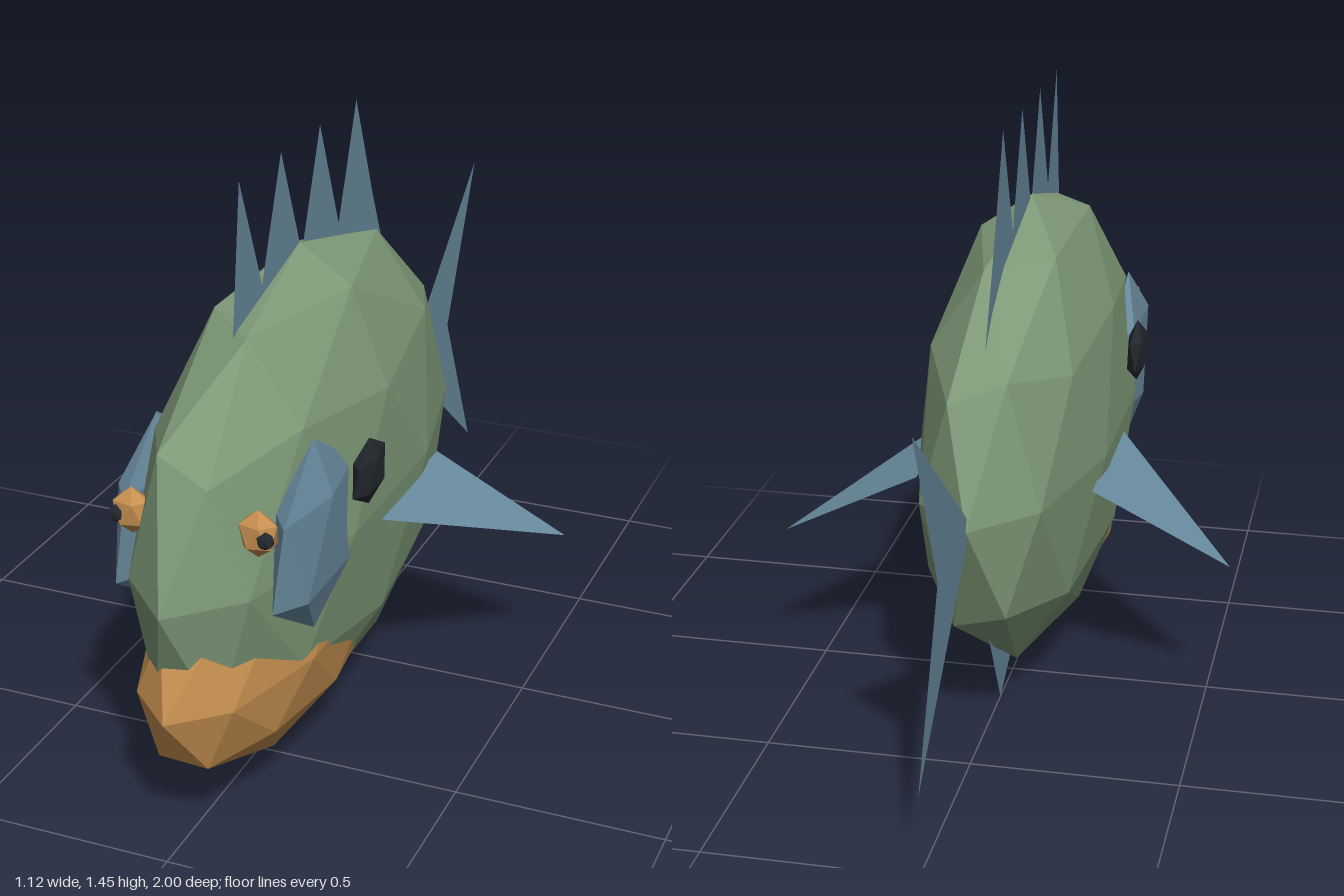
import * as THREE from 'three';

const mat = (name, color, side = THREE.FrontSide) => {
  const m = new THREE.MeshStandardMaterial({ color, flatShading: true, side });
  m.name = name;
  return m;
};

export function createModel() {
  const fish = new THREE.Group();
  fish.name = 'fish';

  const green = mat('scaleGreen', 0x7f9a78);
  const orange = mat('jawOrange', 0xc58f50);
  const blue = mat('finBlue', 0x6a8ca0, THREE.DoubleSide);
  const black = mat('darkSpot', 0x23272d);

  // Faceted ellipsoid with a corner pointing up and another pointing to +x
  const blob = (name, material, detail, radii, centre) => {
    const g = new THREE.IcosahedronGeometry(1, detail);
    g.rotateX(-Math.atan((1 + Math.sqrt(5)) / 2)).rotateY(Math.PI / 2);
    g.scale(...radii).translate(...centre);
    g.computeVertexNormals();
    const mesh = new THREE.Mesh(g, material);
    mesh.name = name;
    fish.add(mesh);
  };

  // Flat fin on the centre plane, outlined by [z, y] points
  const fin = (name, outline) => {
    const shape = new THREE.Shape(outline.map(([z, y]) => new THREE.Vector2(z, y)));
    const g = new THREE.ShapeGeometry(shape).rotateY(-Math.PI / 2);
    const mesh = new THREE.Mesh(g, blue);
    mesh.name = name;
    fish.add(mesh);
  };

  // Body and lower jaw
  blob('body', green, 1, [0.247, 0.59, 0.765], [0, 0.61, 0.235]);
  blob('lowerJaw', orange, 1, [0.2, 0.305, 0.567], [0, 0.348, 0.43]);

  // Dorsal fin with four spikes
  const dorsal = [[0.605, 1.08]];
  for (let i = 0; i < 4; i++) {
    const z = 0.557 - i * 0.223;
    dorsal.push([z, 1.445], [z - 0.112, 1.17]);
  }
  dorsal.push([-0.33, 0.94], [0.235, 1.0]);
  fin('dorsalFin', dorsal);

  // Tail and belly fins
  fin('tailFin', [[-0.477, 0.61], [-1, 1.025], [-0.8, 0.61], [-1, 0.195]]);
  fin('bellyFin', [[0.01, 0.08], [-0.155, 0], [-0.285, 0.22], [-0.1, 0.25]]);

  // Paired parts
  for (const [side, s] of [['left', 1], ['right', -1]]) {
    blob(side + 'GillCover', blue, 0, [0.052, 0.235, 0.233], [s * 0.19, 0.663, 0.606]);
    blob(side + 'CheekSpot', black, 0, [0.025, 0.082, 0.096], [s * 0.245, 0.745, 0.415]);
    blob(side + 'Eye', orange, 0, [0.05, 0.056, 0.037], [s * 0.15, 0.757, 0.815]);
    blob(side + 'Pupil', black, 0, [0.021, 0.021, 0.021], [s * 0.177, 0.755, 0.838]);

    const g = new THREE.BufferGeometry().setFromPoints([
      new THREE.Vector3(s * 0.22, 0.568, 0.31),
      new THREE.Vector3(s * 0.56, 0.39, -0.113),
      new THREE.Vector3(s * 0.22, 0.56, -0.113),
    ]);
    g.setIndex(s > 0 ? [0, 1, 2] : [0, 2, 1]);
    g.computeVertexNormals();
    const pectoral = new THREE.Mesh(g, blue);
    pectoral.name = side + 'PectoralFin';
    fish.add(pectoral);
  }

  return fish;
}
